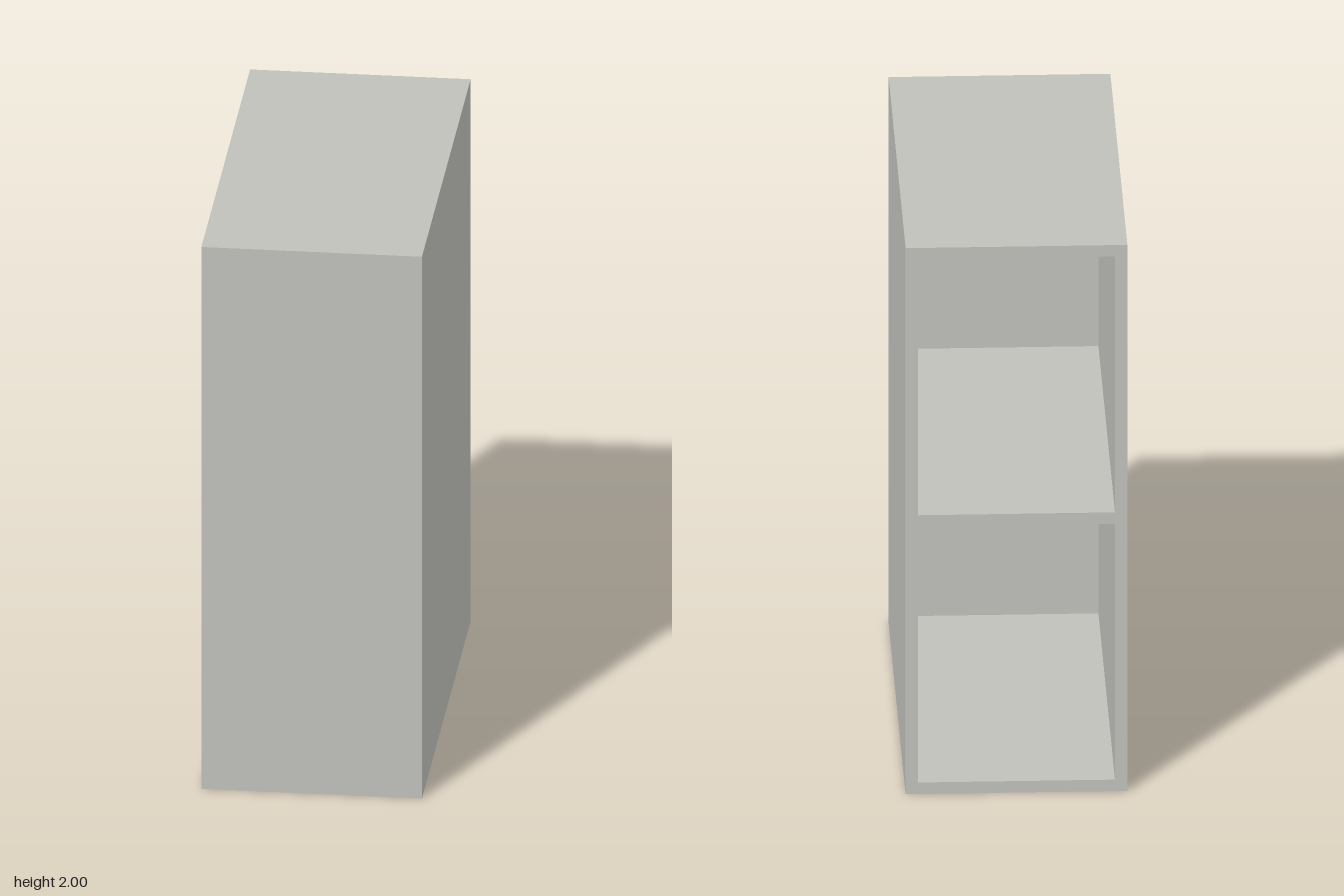
import * as THREE from 'three';

const W = 0.75, H = 2, D = 1.5; // overall size
const T = 0.042;                // board thickness

// Adds a clockwise-independent rectangle to a shape or path
function rect(path, x0, y0, x1, y1) {
  path.moveTo(x0, y0);
  path.lineTo(x1, y0);
  path.lineTo(x1, y1);
  path.lineTo(x0, y1);
  path.closePath();
  return path;
}

export function createModel() {
  const group = new THREE.Group();
  group.name = 'cabinet';
  const paint = new THREE.MeshStandardMaterial({ color: 0xc0c0bb });
  paint.name = 'warm grey';

  // Carcass: sides, top, bottom and middle shelf around two compartments
  const profile = rect(new THREE.Shape(), -W / 2, 0, W / 2, H);
  const openH = (H - 3 * T) / 2;
  for (let i = 0; i < 2; i++) {
    const y = T + i * (openH + T);
    profile.holes.push(rect(new THREE.Path(), -W / 2 + T, y, W / 2 - T, y + openH));
  }
  const carcass = new THREE.Mesh(
    new THREE.ExtrudeGeometry(profile, { depth: D - T, bevelEnabled: false }), paint);
  carcass.name = 'carcass';
  carcass.position.z = -D / 2;
  group.add(carcass);

  // Closed front; the compartments open at the back
  const front = new THREE.Mesh(new THREE.BoxGeometry(W, H, T), paint);
  front.name = 'frontPanel';
  front.position.set(0, H / 2, D / 2 - T / 2);
  group.add(front);

  return group;
}
